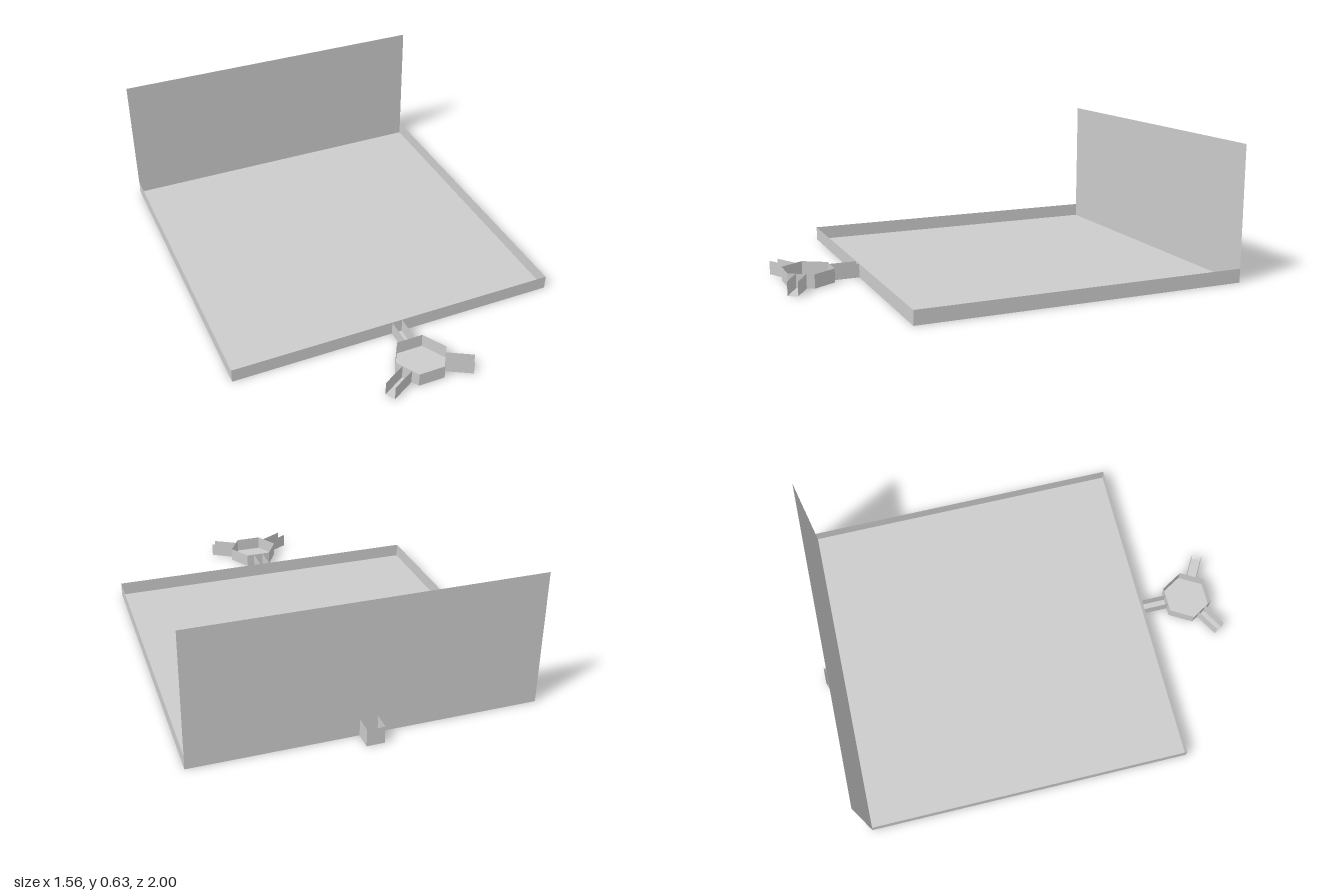
import * as THREE from 'three';

const material = new THREE.MeshStandardMaterial({ color: 0xcccccc, side: THREE.DoubleSide, flatShading: true });
const H = 0.065; // rim height

// Upright sheet standing on a line of [x, z] points
function wall(name, points, y0, y1) {
  const pos = [];
  for (let i = 0; i < points.length - 1; i++) {
    const [ax, az] = points[i], [bx, bz] = points[i + 1];
    pos.push(ax, y0, az, bx, y0, bz, bx, y1, bz, ax, y0, az, bx, y1, bz, ax, y1, az);
  }
  const geometry = new THREE.BufferGeometry();
  geometry.setAttribute('position', new THREE.Float32BufferAttribute(pos, 3));
  geometry.computeVertexNormals();
  const mesh = new THREE.Mesh(geometry, material);
  mesh.name = name;
  return mesh;
}

// Flat sheet on the ground, facing up, bounded by [x, z] points
function floor(name, points) {
  const shape = new THREE.Shape(points.map(([x, z]) => new THREE.Vector2(x, -z)));
  const mesh = new THREE.Mesh(new THREE.ShapeGeometry(shape).rotateX(-Math.PI / 2), material);
  mesh.name = name;
  return mesh;
}

function group(name, ...parts) {
  const g = new THREE.Group();
  g.name = name;
  g.add(...parts);
  return g;
}

export function createModel() {
  const model = new THREE.Group();
  model.name = 'trayWithBackboard';

  // Square tray with a low rim
  const w = 0.778, back = -0.92, front = 0.63;
  const corners = [[-w, back], [-w, front], [w, front], [w, back]];
  model.add(group('tray',
    floor('trayFloor', corners),
    wall('trayRim', corners, 0, H)));

  // Tall board along the back edge
  model.add(wall('backboard', [[-w, back], [w, back]], 0, 0.63));

  // Small open-topped box behind the board
  const box = [[-0.04, back], [-0.04, -1], [0.04, -1], [0.04, back]];
  model.add(group('rearBox',
    floor('rearBoxFloor', box),
    wall('rearBoxWalls', box, 0, 0.08)));

  // Hexagonal dish in front of the tray
  const R = 0.123, apothem = R * Math.cos(Math.PI / 6);
  const hexagon = Array.from({ length: 6 }, (_, i) => {
    const a = i * Math.PI / 3;
    return [R * Math.cos(a), R * Math.sin(a)];
  });
  const dish = group('hexDish',
    floor('dishFloor', hexagon),
    wall('dishRim', [...hexagon, hexagon[0]], 0, H));

  // Three open channels: one joins the tray, two splay forward
  const arm = 0.024, reach = 0.231;
  const strip = [[-arm, -apothem], [-arm, -reach], [arm, -reach], [arm, -apothem]];
  ['connectingChannel', 'rightChannel', 'leftChannel'].forEach((name, i) => {
    const channel = group(name,
      floor('channelFloor', strip),
      wall('channelSide', strip.slice(0, 2), 0, H),
      wall('channelSide', strip.slice(2), 0, H));
    channel.rotation.y = i * Math.PI * 2 / 3;
    dish.add(channel);
  });
  dish.position.z = 0.861;
  model.add(dish);

  return model;
}
